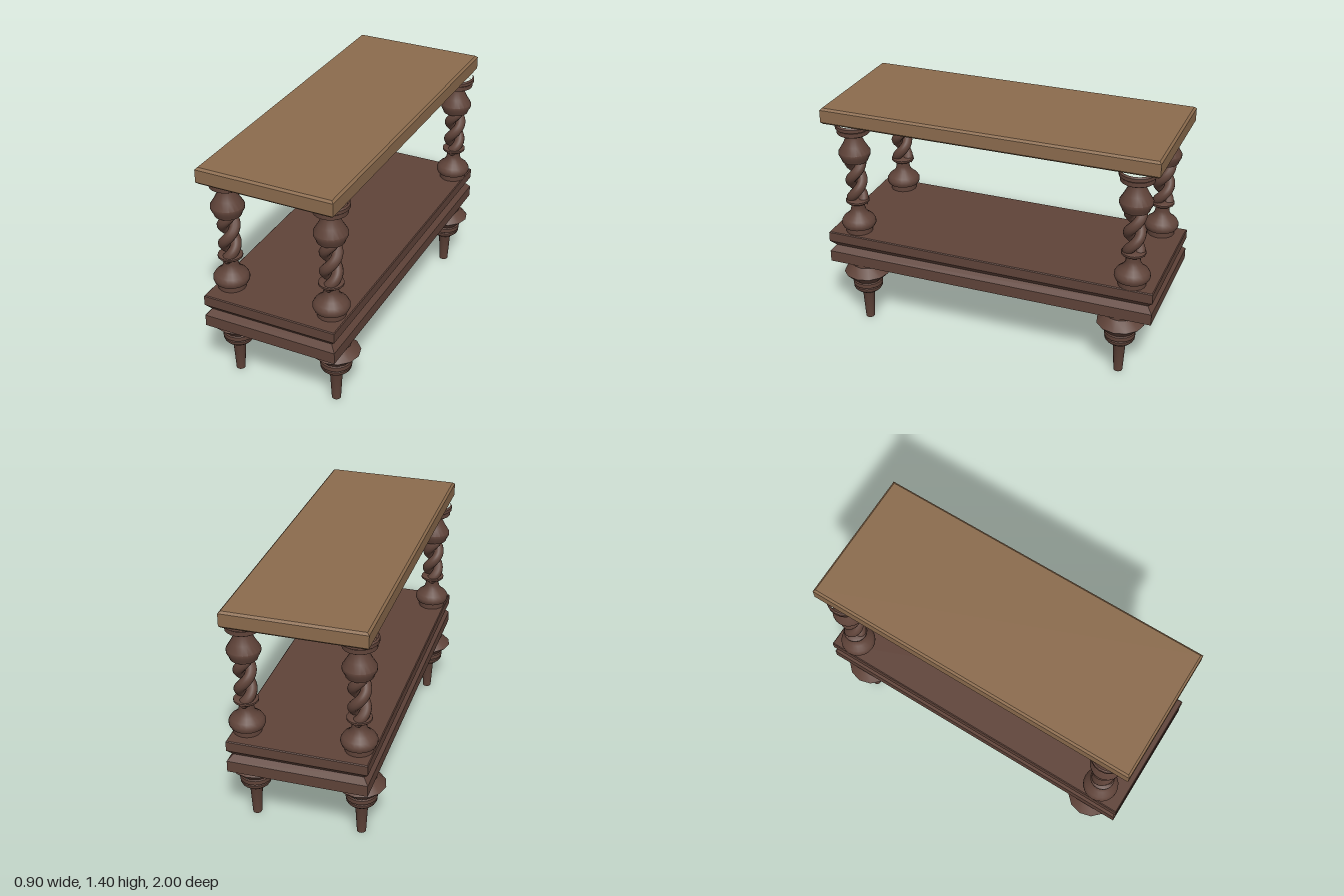
import * as THREE from 'three';
import { toCreasedNormals } from 'three/addons/utils/BufferGeometryUtils.js';

const mat = (name, color) => Object.assign(new THREE.MeshStandardMaterial({ color }), { name });

// Rectangular slab: stacked [inset, y] rings, bottom to top, with end caps
function slab(width, depth, profile) {
  const rings = profile.map(([inset, y]) => {
    const x = width / 2 - inset, z = depth / 2 - inset;
    return [[x, y, z], [x, y, -z], [-x, y, -z], [-x, y, z]];
  });
  const pos = [];
  const quad = (a, b, c, d) => pos.push(...a, ...b, ...c, ...a, ...c, ...d);
  for (let i = 0; i < rings.length - 1; i++) {
    for (let k = 0; k < 4; k++) {
      const n = (k + 1) % 4;
      quad(rings[i][k], rings[i][n], rings[i + 1][n], rings[i + 1][k]);
    }
  }
  quad(...rings[rings.length - 1]);
  quad(...[...rings[0]].reverse());
  const g = new THREE.BufferGeometry();
  g.setAttribute('position', new THREE.Float32BufferAttribute(pos, 3));
  g.computeVertexNormals();
  return g;
}

// Turned part from [radius, y] points, bottom to top
function turned(points, segments) {
  const g = new THREE.LatheGeometry(points.map(([r, y]) => new THREE.Vector2(r, y)), segments);
  return toCreasedNormals(g, 0.6);
}

// One strand of the barley twist
class Helix extends THREE.Curve {
  constructor(phase) {
    super();
    this.phase = phase;
  }
  getPoint(t, target = new THREE.Vector3()) {
    const y = 0.79 + 0.295 * t;
    const a = this.phase + ((y - 0.915) / 0.236) * Math.PI * 2;
    return target.set(0.034 * Math.sin(a), y, 0.034 * Math.cos(a));
  }
}

export function createModel() {
  const root = new THREE.Group();
  root.name = 'consoleTable';
  const lightWood = mat('lightWood', 0x8b6b4d);
  const darkWood = mat('darkWood', 0x5f4339);

  const add = (parent, name, geometry, material) => {
    const m = new THREE.Mesh(geometry, material);
    m.name = name;
    parent.add(m);
    return m;
  };

  // Table top with chamfered edges
  add(root, 'tableTop', slab(0.8, 2, [
    [0.012, 1.302], [0, 1.314], [0, 1.388], [0.012, 1.4]]), lightWood);

  // Lower shelf with a V groove all round
  add(root, 'lowerShelf', slab(0.8, 2, [
    [0, 0.4], [0, 0.468], [0.03, 0.503], [0, 0.538], [0, 0.595], [0.005, 0.6]]), darkWood);

  // Feet
  const foot = turned([
    [0, 0], [0.026, 0], [0.036, 0.175], [0.044, 0.19], [0.065, 0.2], [0.081, 0.215],
    [0.088, 0.228], [0.088, 0.237], [0.081, 0.241], [0.09, 0.247], [0.09, 0.272], [0.082, 0.277]], 20);
  const collar = turned([
    [0.08, 0.274], [0.139, 0.333], [0.086, 0.385], [0.086, 0.401]], 12);
  for (const x of [-0.312, 0.312]) {
    for (const z of [-0.803, 0.803]) {
      const leg = new THREE.Group();
      leg.name = 'foot';
      leg.position.set(x, 0, z);
      add(leg, 'taperedFoot', foot, darkWood);
      add(leg, 'footCollar', collar, darkWood);
      root.add(leg);
    }
  }

  // Posts: turned base, twisted middle, turned capital
  const base = turned([
    [0.08, 0.599], [0.08, 0.633], [0.096, 0.638], [0.103, 0.655], [0.102, 0.67], [0.09, 0.69],
    [0.064, 0.71], [0.048, 0.73], [0.041, 0.755], [0.043, 0.785], [0.062, 0.79], [0.07, 0.797],
    [0.07, 0.808], [0.055, 0.816], [0, 0.818]], 20);
  const capital = turned([
    [0, 1.064], [0.076, 1.064], [0.082, 1.082], [0.094, 1.105], [0.094, 1.122], [0.068, 1.165],
    [0.048, 1.205], [0.046, 1.218], [0.062, 1.225], [0.086, 1.236], [0.095, 1.242], [0.095, 1.267],
    [0.088, 1.27], [0.104, 1.274], [0.104, 1.294], [0.095, 1.303]], 20);
  const strands = [0, Math.PI].map(p => new THREE.TubeGeometry(new Helix(p), 40, 0.031, 12, false));
  const spots = [[-0.313, 0.842], [0.306, 0.842], [-0.313, -0.86], [0.324, -0.86]];
  for (const [x, z] of spots) {
    const post = new THREE.Group();
    post.name = 'post';
    post.position.set(x, 0, z);
    add(post, 'postBase', base, darkWood);
    add(post, 'postCapital', capital, darkWood);
    strands.forEach(s => add(post, 'twistStrand', s, darkWood));
    root.add(post);
  }
  return root;
}
